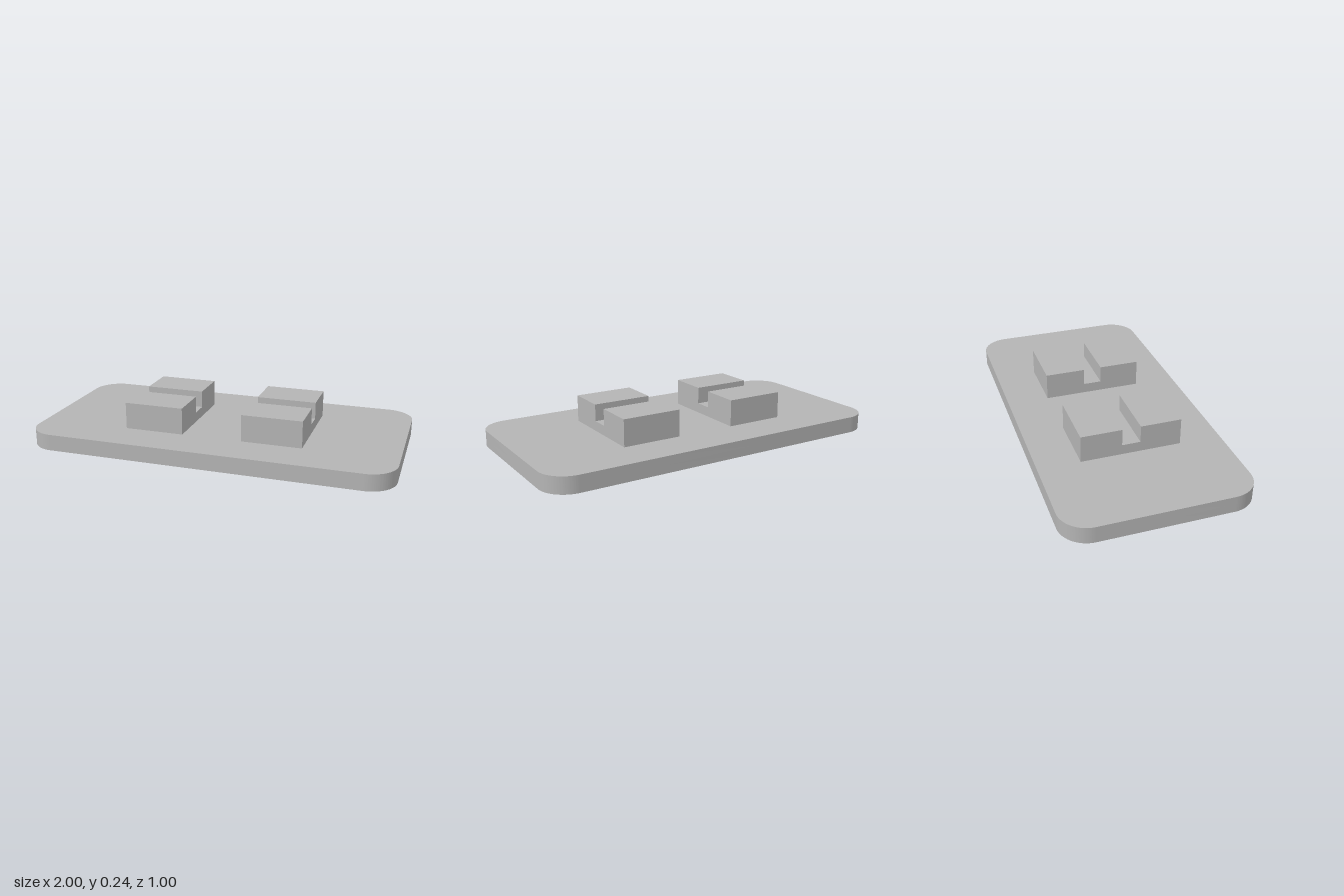
import * as THREE from 'three';
import { mergeGeometries, toCreasedNormals } from 'three/addons/utils/BufferGeometryUtils.js';

const THICK = 0.09, RECESS = 0.045, SEG = 32;

// Rounded rectangle outline of the plate
function plateOutline(hx, hz, r) {
  const s = new THREE.Shape();
  s.absarc(hx - r, hz - r, r, 0, Math.PI / 2);
  s.absarc(r - hx, hz - r, r, Math.PI / 2, Math.PI);
  s.absarc(r - hx, r - hz, r, Math.PI, Math.PI * 1.5);
  s.absarc(hx - r, r - hz, r, Math.PI * 1.5, Math.PI * 2);
  s.closePath();
  return s;
}

function ellipse() {
  return new THREE.Shape().absellipse(0, 0, 0.81, 0.33, 0, Math.PI * 2);
}

// Only the side walls of an extruded shape, between two heights
function walls(shape, y0, y1) {
  const solid = new THREE.ExtrudeGeometry(shape, { depth: y1 - y0, bevelEnabled: false, curveSegments: SEG });
  const { start, count } = solid.groups[1];
  const geo = new THREE.BufferGeometry();
  for (const name of ['position', 'normal', 'uv']) {
    const a = solid.getAttribute(name), n = a.itemSize;
    geo.setAttribute(name, new THREE.BufferAttribute(a.array.slice(start * n, (start + count) * n), n));
  }
  return toCreasedNormals(geo, 0.6).rotateX(-Math.PI / 2).translate(0, y0, 0);
}

// Flat horizontal face, turned up or down
function face(shape, y, up) {
  return new THREE.ShapeGeometry(shape, SEG).toNonIndexed()
    .rotateX(up ? -Math.PI / 2 : Math.PI / 2).translate(0, y, 0);
}

export function createModel() {
  const model = new THREE.Group();
  model.name = 'notchedMountingPlate';
  const grey = new THREE.MeshStandardMaterial({ color: 0xb4b4b4 });
  grey.name = 'grey';

  // Base plate with an elliptical recess underneath
  const outline = plateOutline(1, 0.5, 0.15);
  const ring = plateOutline(1, 0.5, 0.15);
  ring.holes.push(ellipse());
  const plate = new THREE.Mesh(mergeGeometries([
    walls(ring, 0, RECESS),
    walls(outline, RECESS, THICK),
    face(outline, THICK, true),
    face(ring, 0, false),
    face(ellipse(), RECESS, false),
  ]), grey);
  plate.name = 'basePlate';
  model.add(plate);

  // Two U-shaped blocks, each with a slot running across in x
  const profile = new THREE.Shape([
    [-0.272, THICK], [0.272, THICK], [0.272, 0.238], [0.05, 0.238],
    [0.05, 0.145], [-0.05, 0.145], [-0.05, 0.238], [-0.272, 0.238],
  ].map(([z, y]) => new THREE.Vector2(z, y)));
  const width = 0.33;
  const blockGeo = new THREE.ExtrudeGeometry(profile, { depth: width, bevelEnabled: false })
    .translate(0, 0, -width / 2).rotateY(Math.PI / 2);
  for (const [name, x] of [['leftSlottedBlock', 0.332], ['rightSlottedBlock', -0.332]]) {
    const block = new THREE.Mesh(blockGeo, grey);
    block.name = name;
    block.position.x = x;
    model.add(block);
  }
  return model;
}
